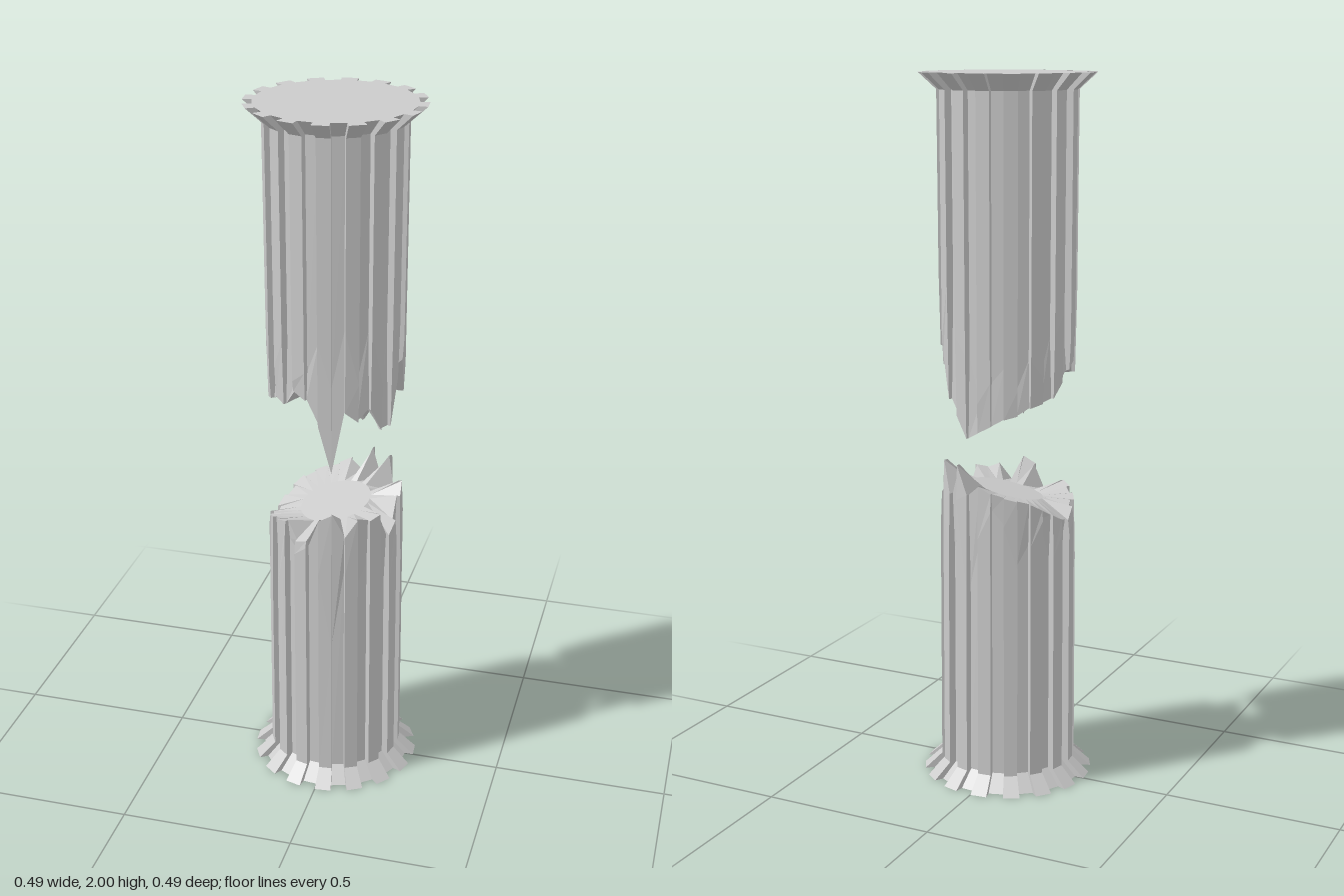
import * as THREE from 'three';

const TEETH = 16, STEPS = TEETH * 2;

// Heights (in hundredths) every 11.25 degrees, counter-clockwise from +x:
// tip = jagged end of the break, chip = where the fluted wall stops and the chipped face starts
const LOWER_TIP = [88, 91, 81, 84, 94, 85, 94, 86, 89, 87, 86, 85, 84, 82, 80, 78,
  77, 80, 81, 82, 83, 84, 79, 80, 87, 89, 82, 87, 86, 87, 79, 82];
const LOWER_CHIP = [68, 82, 66, 74, 82, 68, 84, 60, 74, 82, 78, 66, 72, 79, 68, 74,
  73, 76, 65, 60, 62, 78, 75, 78, 70, 47, 70, 65, 72, 57, 64, 76];
const UPPER_TIP = [130, 119, 136, 126, 124, 112, 108, 102, 104, 106, 108, 109, 111, 112, 113, 117,
  120, 122, 118, 119, 121, 120, 125, 123, 116, 102, 120, 117, 120, 113, 113, 126];
const UPPER_CHIP = [136, 128, 145, 146, 128, 144, 130, 125, 112, 118, 122, 116, 124, 119, 130, 136,
  128, 132, 140, 126, 130, 138, 128, 131, 140, 127, 143, 128, 142, 126, 138, 142];

// One gear-shaped ring: each angle carries a tooth corner and a groove corner
function ring(outer, inner, height) {
  const points = [];
  for (let j = 0; j < STEPS; j++) {
    const a = (j / STEPS) * Math.PI * 2;
    const radii = j % 2 === 0 ? [inner, outer] : [outer, inner];
    for (const r of radii) {
      const x = r * Math.cos(a), z = -r * Math.sin(a);
      points.push(new THREE.Vector3(x, height(j, x, z), z));
    }
  }
  return points;
}

// Skin rings listed along the surface, first to last
function skin(rings) {
  const pos = [];
  const tri = (a, b, c) => {
    if (b.clone().sub(a).cross(c.clone().sub(a)).lengthSq() < 1e-14) return;
    for (const p of [a, b, c]) pos.push(p.x, p.y, p.z);
  };
  for (let i = 0; i < rings.length - 1; i++) {
    const lo = rings[i], hi = rings[i + 1], n = lo.length;
    for (let j = 0; j < n; j++) {
      const k = (j + 1) % n;
      tri(lo[j], lo[k], hi[k]);
      tri(lo[j], hi[k], hi[j]);
    }
  }
  const geo = new THREE.BufferGeometry();
  geo.setAttribute('position', new THREE.Float32BufferAttribute(pos, 3));
  geo.computeVertexNormals();
  return geo;
}

// Half a column, from its flared end to the broken end
function columnPiece(name, endY, lipY, chip, tip, core, flip) {
  const rings = [
    ring(0, 0, () => endY),
    ring(0.243, 0.217, () => endY),
    ring(0.194, 0.174, () => lipY),
    ring(0.192, 0.172, j => chip[j] / 100),
    ring(0.188, 0.178, j => tip[j] / 100),
    ring(0.1, 0.1, (j, x, z) => core(x, z)),
    ring(0, 0, () => core(0, 0)),
  ];
  if (flip) rings.reverse();
  const mesh = new THREE.Mesh(skin(rings), new THREE.MeshStandardMaterial({
    color: 0xcccccc, flatShading: true, side: THREE.DoubleSide,
  }));
  mesh.name = name;
  return mesh;
}

export function createModel() {
  const group = new THREE.Group();
  group.name = 'brokenFlutedColumn';
  group.add(
    columnPiece('lowerColumn', 0, 0.045, LOWER_CHIP, LOWER_TIP,
      (x, z) => 0.84 + 0.2 * x - 0.15 * z, false),
    columnPiece('upperColumn', 2, 1.955, UPPER_CHIP, UPPER_TIP,
      (x, z) => 1.19 + 0.2 * x + 0.35 * z, true),
  );
  return group;
}
